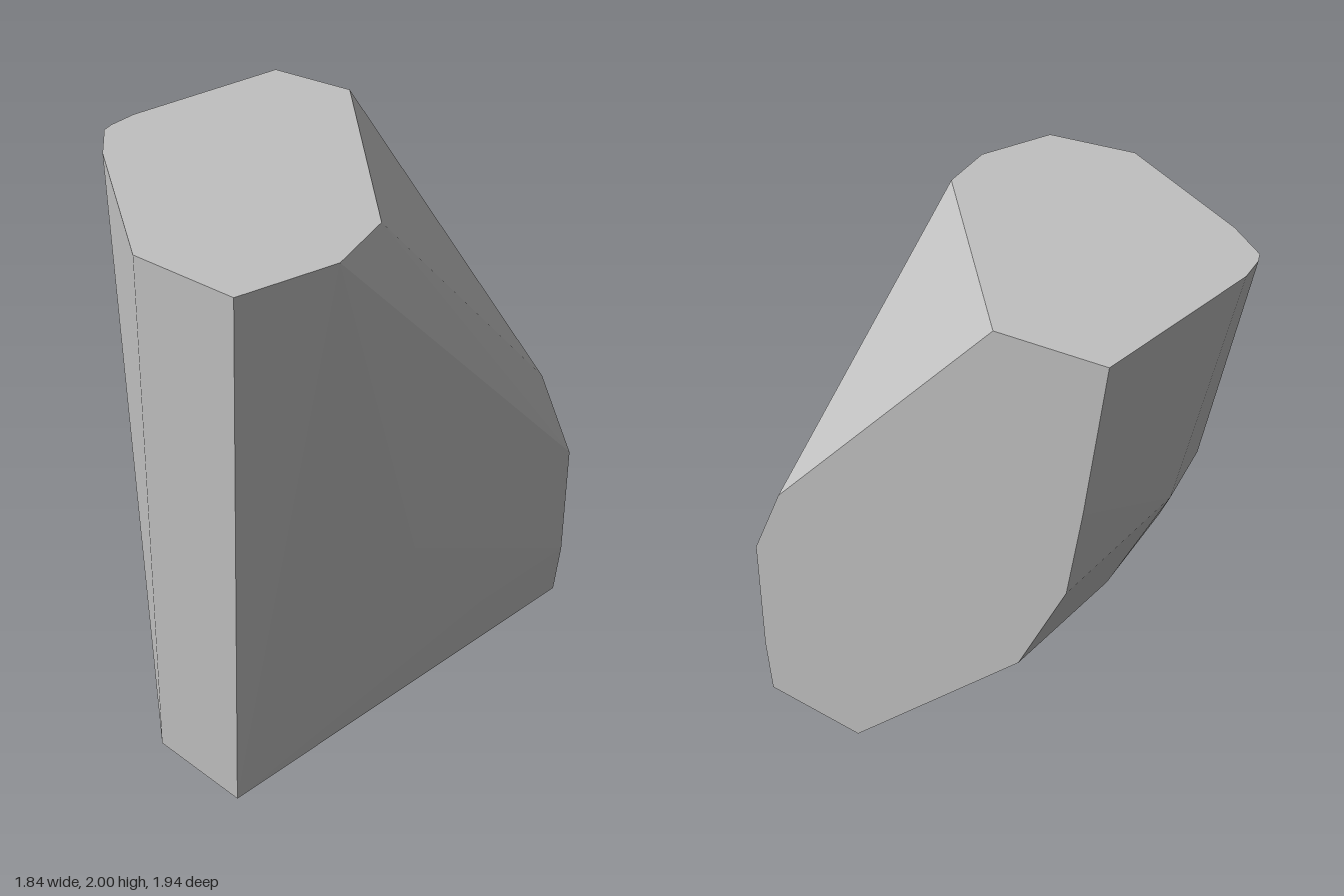
import * as THREE from 'three';
import { ConvexGeometry } from 'three/addons/geometries/ConvexGeometry.js';

export function createModel() {
  const group = new THREE.Group();
  group.name = 'stoneChunk';
  const stone = new THREE.MeshStandardMaterial({ color: 0xc0c0c0, flatShading: true });
  stone.name = 'stoneGrey';

  const back = -0.97, front = 0.97, top = 2;

  // flat top outline, as [x, z]
  const topRim = [
    [-0.92, back], [-0.45, back], [0.765, 0.16], [0.92, 0.53], [0.89, front],
    [0.405, front], [-0.5, 0.38], [-0.735, 0.185], [-0.77, 0.12], [-0.82, -0.04],
  ].map(([x, z]) => [x, top, z]);

  // flat back outline, as [x, y]
  const backRim = [
    [-0.82, 1.45], [-0.75, 1.12], [-0.53, 0.74], [0.35, 0],
    [0.87, 0], [0.89, 0.22], [0.88, 0.7], [0.705, 1],
  ].map(([x, y]) => [x, y, back]);

  // narrow foot of the front face
  const foot = [[0.46, 0, front], [0.885, 0, front]];

  // corners of the rounded right flank and the shallow bulge on the left
  const flank = [
    [-0.34, 0.91, 0.33], [-0.405, 0.845, 0.07], [-0.48, 0.77, -0.38],
    [-0.55, 1.16, 0.11], [-0.68, 1.16, -0.26],
  ];
  const bulge = [[0.92, 0.7, 0.07], [0.9, 0.22, -0.4]];

  const points = [...topRim, ...backRim, ...foot, ...flank, ...bulge]
    .map((p) => new THREE.Vector3(...p));
  const chunk = new THREE.Mesh(new ConvexGeometry(points), stone);
  chunk.name = 'facetedChunk';
  group.add(chunk);
  return group;
}
